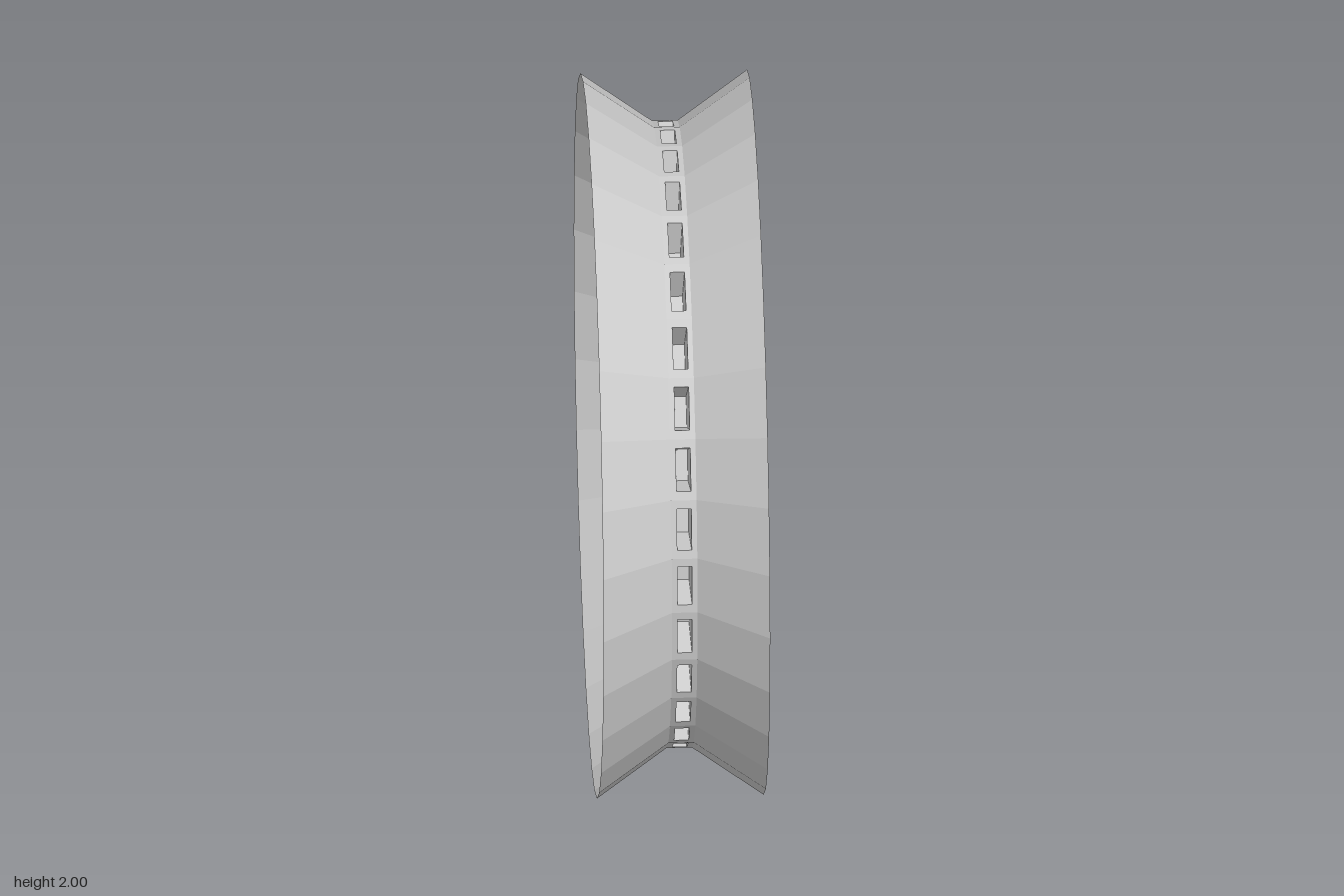
import * as THREE from 'three';
import { mergeGeometries } from 'three/addons/utils/BufferGeometryUtils.js';

const SIDES = 32;
const OUTER_R = 1, BAND_R = 0.865;
const HALF_WIDTH = 0.23, BAND_HALF = 0.035;
const STEP = (Math.PI * 2) / SIDES;
const FACET_R = BAND_R * Math.cos(STEP / 2);     // distance of a flat facet from the axis
const FACET_HALF = BAND_R * Math.sin(STEP / 2);  // half the length of a facet
const SLOT = { x: 0.02, y: 0.06 };               // half sizes of the pocket mouth
const FLOOR = { x: 0.016, y: 0.043, r: 0.748 };  // half sizes and radius of the pocket floor

// Closed rectangle outline, centred on the origin
function rectangle(PathType, hx, hy) {
  return new PathType([[-hx, -hy], [hx, -hy], [hx, hy], [-hx, hy]].map(([x, y]) => new THREE.Vector2(x, y)));
}

// Repeats a piece built with +z pointing outward on every facet of the ring
function aroundRing(piece) {
  const copies = [];
  for (let i = 0; i < SIDES; i++) copies.push(piece.clone().rotateX((i + 0.5) * STEP));
  return mergeGeometries(copies);
}

// Sloping side of the V groove; side is +1 or -1 along x
function flankGeometry(side) {
  const profile = [
    new THREE.Vector2(BAND_R, -side * BAND_HALF),
    new THREE.Vector2(OUTER_R, -side * HALF_WIDTH),
  ];
  return new THREE.LatheGeometry(profile, SIDES).rotateZ(Math.PI / 2);
}

// One flat facet of the groove bottom, with its slot
function bandFacet() {
  const shape = rectangle(THREE.Shape, BAND_HALF, FACET_HALF);
  shape.holes.push(rectangle(THREE.Path, SLOT.x, SLOT.y));
  return new THREE.ShapeGeometry(shape).translate(0, 0, FACET_R);
}

// Tapered pocket: a box narrowed toward its floor and open at the mouth
function pocketGeometry() {
  const box = new THREE.BoxGeometry(2, 2, 2);
  const pos = box.attributes.position;
  for (let i = 0; i < pos.count; i++) {
    const mouth = pos.getZ(i) > 0;
    const size = mouth ? SLOT : FLOOR;
    pos.setXYZ(i, pos.getX(i) * size.x, pos.getY(i) * size.y, mouth ? FACET_R : FLOOR.r);
  }
  // the fifth face of the box is the mouth
  const index = Array.from(box.index.array);
  index.splice(24, 6);
  box.setIndex(index);
  box.clearGroups();
  box.computeVertexNormals();
  return box;
}

export function createModel() {
  const model = new THREE.Group();
  model.name = 'groovedRing';
  const material = new THREE.MeshStandardMaterial({
    color: 0xcccccc, flatShading: true, side: THREE.DoubleSide,
  });
  const add = (name, geometry) => {
    const mesh = new THREE.Mesh(geometry, material);
    mesh.name = name;
    mesh.position.y = OUTER_R;
    model.add(mesh);
  };

  add('leftFlank', flankGeometry(1));
  add('rightFlank', flankGeometry(-1));
  add('slottedBand', aroundRing(bandFacet()));
  add('pockets', aroundRing(pocketGeometry()));
  return model;
}
